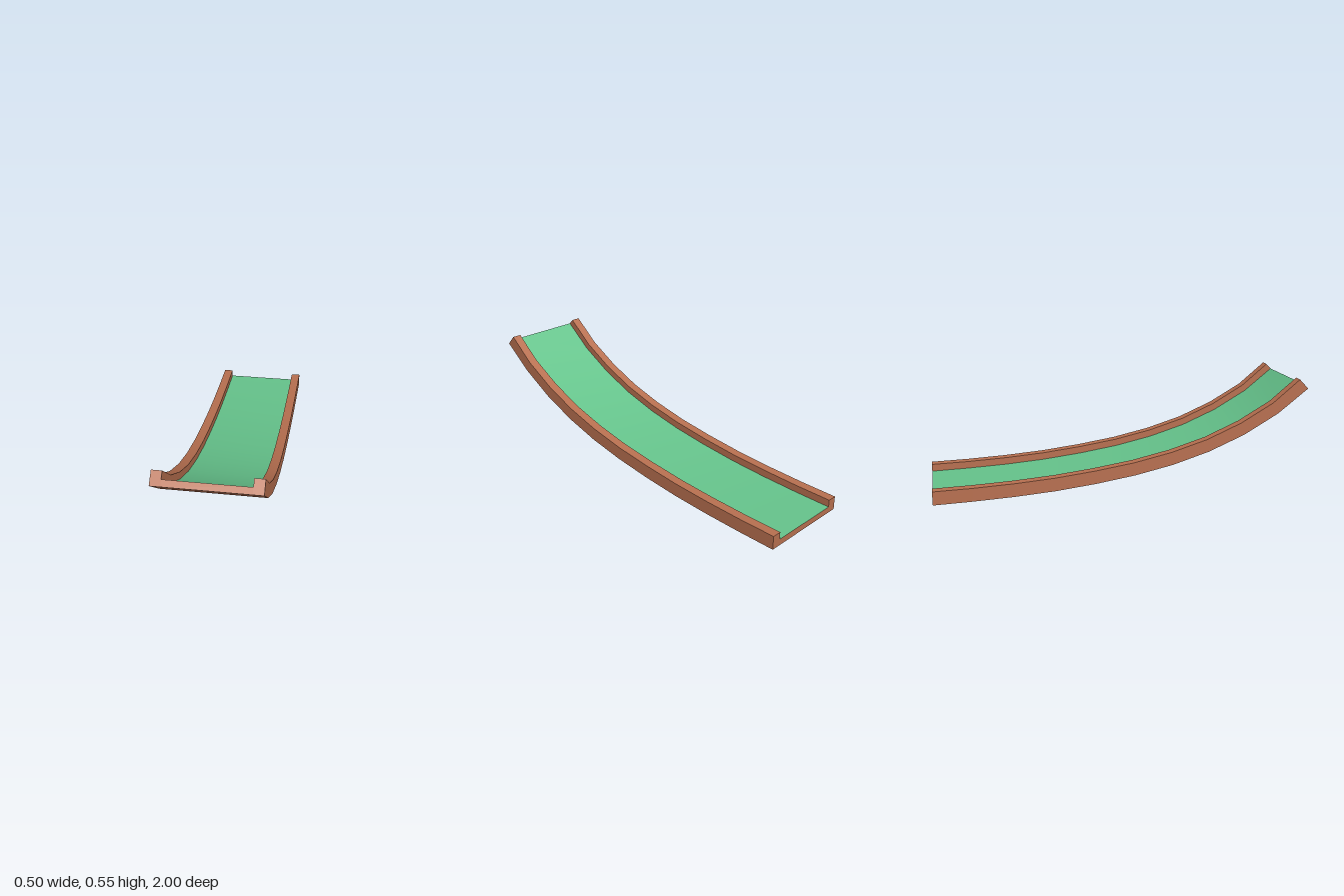
import * as THREE from 'three';
import { toCreasedNormals } from 'three/addons/utils/BufferGeometryUtils.js';

// Side profile, front to back: [bottom z, bottom y, top z, top y]
const STATIONS = [
  [1, 0.5, 0.95, 0.552],
  [0.834, 0.371, 0.803, 0.431],
  [0.645, 0.264, 0.625, 0.33],
  [0.45, 0.183, 0.438, 0.251],
  [0.25, 0.123, 0.243, 0.193],
  [0.045, 0.08, 0.04, 0.15],
  [-0.165, 0.049, -0.168, 0.12],
  [-0.378, 0.026, -0.38, 0.097],
  [-0.59, 0.012, -0.591, 0.083],
  [-0.8, 0.004, -0.8, 0.075],
  [-1, 0, -1, 0.072],
];

const OUT = 0.25, IN = 0.2; // outer and inner half widths
const BED = 0.46; // bed height as a fraction of the rail height

// U-shaped cross-section, anticlockwise from the front: [x, height fraction]
const SECTION = [
  [-OUT, 0], [OUT, 0], [OUT, 1], [IN, 1],
  [IN, BED], [-IN, BED], [-IN, 1], [-OUT, 1],
];
const BED_EDGE = 4;

function point([x, t], [z0, y0, z1, y1]) {
  return [x, y0 + (y1 - y0) * t, z0 + (z1 - z0) * t];
}

function quad(out, a, b, c, d) {
  out.push(...a, ...b, ...c, ...a, ...c, ...d);
}

// Sweep one edge of the section along the profile
function sweepEdge(out, i) {
  const a = SECTION[i], b = SECTION[(i + 1) % SECTION.length];
  for (let s = 0; s < STATIONS.length - 1; s++) {
    const f = STATIONS[s], r = STATIONS[s + 1];
    quad(out, point(a, f), point(a, r), point(b, r), point(b, f));
  }
}

// Close an end with three rectangles: two rails and the bed
function endCap(out, station, isBack) {
  for (const [x0, x1, t] of [[-OUT, -IN, 1], [-IN, IN, BED], [IN, OUT, 1]]) {
    const p = [[x0, 0], [x1, 0], [x1, t], [x0, t]].map((q) => point(q, station));
    if (isBack) p.reverse();
    quad(out, ...p);
  }
}

function makeMesh(name, positions, material) {
  const geometry = new THREE.BufferGeometry();
  geometry.setAttribute('position', new THREE.Float32BufferAttribute(positions, 3));
  const mesh = new THREE.Mesh(toCreasedNormals(geometry, 0.5), material);
  mesh.name = name;
  return mesh;
}

export function createModel() {
  const wood = new THREE.MeshStandardMaterial({ color: 0xb87050 });
  wood.name = 'wood brown';
  const green = new THREE.MeshStandardMaterial({ color: 0x66c48c });
  green.name = 'bed green';

  // Wooden trough: underside, rails and both ends
  const frame = [];
  SECTION.forEach((_, i) => {
    if (i !== BED_EDGE) sweepEdge(frame, i);
  });
  endCap(frame, STATIONS[0], false);
  endCap(frame, STATIONS[STATIONS.length - 1], true);

  // Green running surface between the rails
  const bed = [];
  sweepEdge(bed, BED_EDGE);

  const model = new THREE.Group();
  model.name = 'curvedRamp';
  model.add(makeMesh('railedFrame', frame, wood), makeMesh('rampSurface', bed, green));
  return model;
}
